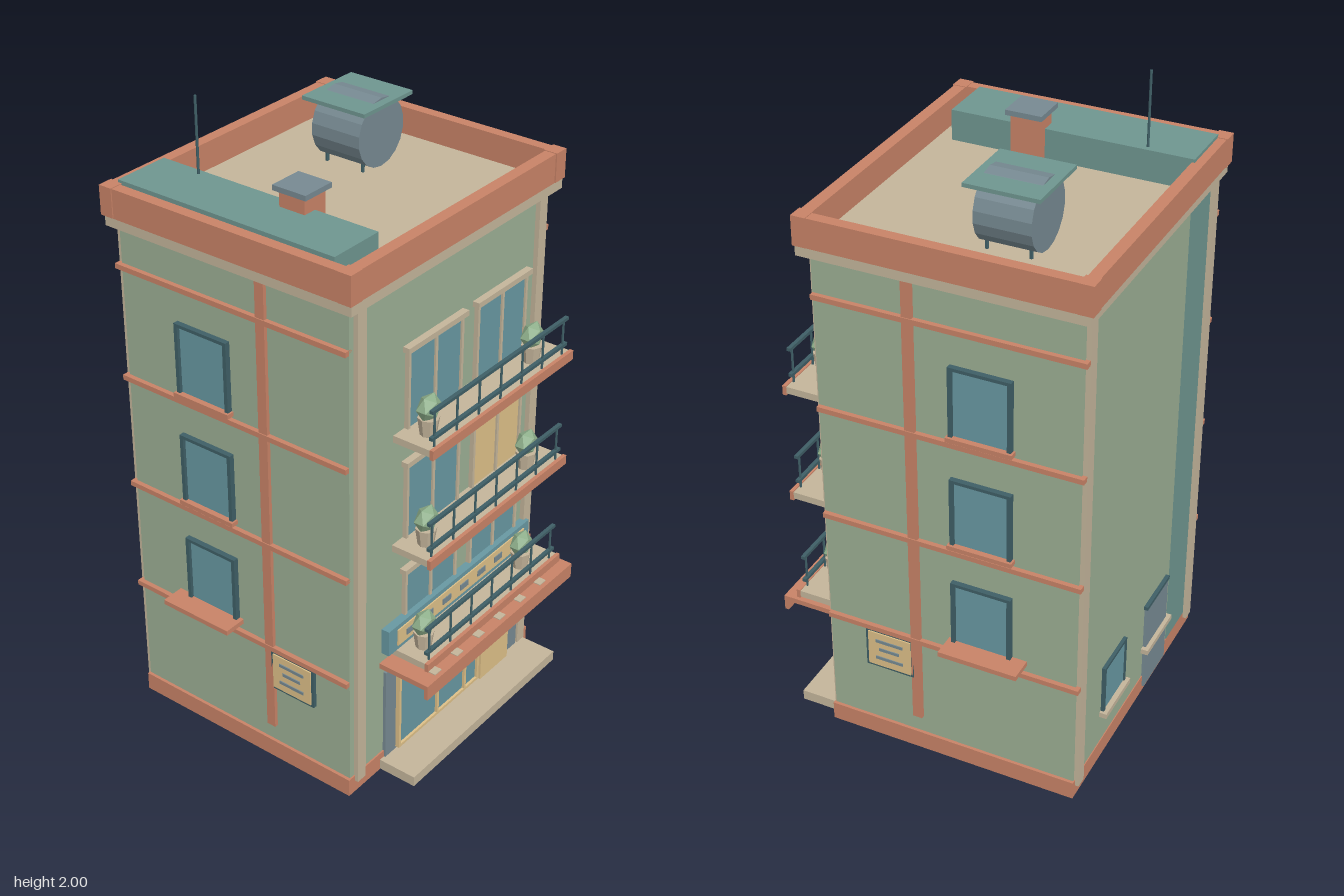
import * as THREE from 'three';

const mat = (color) => new THREE.MeshStandardMaterial({ color, flatShading: true });
const M = {
  wall: mat(0x9caf94), brick: mat(0xc98367), stone: mat(0xc4b59b), teal: mat(0x6f9690),
  glass: mat(0x6898a2), blind: mat(0xdec088), dark: mat(0x3f5f66), slate: mat(0x778a92), leaf: mat(0x8fb08c),
};

export function createModel() {
  const root = new THREE.Group();

  const add = (parent, name, geo, m, x = 0, y = 0, z = 0) => {
    const mesh = new THREE.Mesh(geo, M[m]);
    mesh.name = name;
    mesh.position.set(x, y, z);
    parent.add(mesh);
    return mesh;
  };
  // Box given by its extents along x, y and z
  const box = (parent, name, m, x0, x1, y0, y1, z0, z1) =>
    add(parent, name, new THREE.BoxGeometry(x1 - x0, y1 - y0, z1 - z0), m,
      (x0 + x1) / 2, (y0 + y1) / 2, (z0 + z1) / 2);
  const group = (name, parent = root) => {
    const g = new THREE.Group();
    g.name = name;
    parent.add(g);
    return g;
  };
  // Rectangular ring lying flat, extruded upwards
  const ring = (name, m, [x0, x1, z0, z1], [a0, a1, b0, b1], y, h) => {
    const rect = (T, l, r, n, f) => new T().moveTo(l, -f).lineTo(r, -f).lineTo(r, -n).lineTo(l, -n).closePath();
    const s = rect(THREE.Shape, x0, x1, z0, z1);
    s.holes.push(rect(THREE.Path, a0, a1, b0, b1));
    const geo = new THREE.ExtrudeGeometry(s, { depth: h, bevelEnabled: false }).rotateX(-Math.PI / 2);
    return add(root, name, geo, m, 0, y, 0);
  };

  // Main volume
  box(root, 'walls', 'wall', -0.46, 0.46, 0.05, 1.64, -0.475, 0.33);
  box(root, 'plinth', 'brick', -0.47, 0.47, 0, 0.06, -0.478, 0.335);
  box(root, 'stairCore', 'teal', -0.45, -0.267, 0.06, 1.77, -0.478, 0.277);
  for (const s of [-1, 1]) {
    box(root, 'frontPilaster', 'stone', s * 0.422 - 0.019, s * 0.422 + 0.019, 0.04, 1.64, 0.32, 0.345);
    box(root, 'backPilaster', 'stone', s * 0.435 - 0.019, s * 0.435 + 0.019, 0.04, 1.64, -0.49, -0.47);
  }

  // Cornice, roof deck and parapet
  box(root, 'cornice', 'stone', -0.488, 0.488, 1.64, 1.67, -0.5, 0.36);
  box(root, 'roofDeck', 'stone', -0.46, 0.46, 1.665, 1.675, -0.475, 0.33);
  ring('parapet', 'brick', [-0.49, 0.49, -0.505, 0.36], [-0.455, 0.455, -0.469, 0.323], 1.67, 0.09);
  for (const x of [-0.47, 0.47]) for (const z of [-0.487, 0.342])
    box(root, 'parapetCorner', 'brick', x - 0.024, x + 0.024, 1.672, 1.762, z - 0.022, z + 0.022);

  // Roof equipment
  const chimney = group('chimney');
  box(chimney, 'chimneyStack', 'brick', -0.31, -0.222, 1.67, 1.82, -0.022, 0.065);
  box(chimney, 'chimneyCap', 'slate', -0.32, -0.21, 1.817, 1.833, -0.037, 0.077);
  const tank = group('waterTank');
  add(tank, 'tankDrum', new THREE.CylinderGeometry(0.105, 0.105, 0.17, 18).rotateX(Math.PI / 2), 'slate', 0.225, 1.782, -0.175);
  box(tank, 'tankShade', 'teal', 0.112, 0.338, 1.868, 1.88, -0.288, -0.064);
  for (const x of [0.165, 0.285]) for (const z of [-0.24, -0.11])
    add(tank, 'tankLeg', new THREE.CylinderGeometry(0.006, 0.006, 0.06, 6), 'dark', x, 1.7, z);
  add(root, 'antenna', new THREE.CylinderGeometry(0.004, 0.004, 0.24, 8), 'dark', -0.287, 1.88, -0.33);

  // Side elevations, mirrored
  for (const s of [-1, 1]) {
    const side = group(s > 0 ? 'leftSide' : 'rightSide');
    const sb = (name, m, a, b, ...r) => box(side, name, m, Math.min(s * a, s * b), Math.max(s * a, s * b), ...r);
    for (const y of [0.417, 0.785, 1.152, 1.513])
      sb('stringCourse', 'brick', 0.45, 0.475, y - 0.008, y + 0.008, -0.488, 0.33);
    sb('drainPipe', 'brick', 0.45, 0.472, 0.12, 1.635, 0.022, 0.053);
    [0.455, 0.815, 1.18].forEach((y, i) => {
      const top = y + 0.22;
      sb('sideGlass', 'glass', 0.45, 0.467, y, top, -0.265, -0.093);
      for (const z of [-0.268, -0.09]) sb('sideJamb', 'dark', 0.45, 0.477, y, top, z - 0.006, z + 0.006);
      sb('sideHead', 'dark', 0.45, 0.477, top - 0.006, top + 0.004, -0.274, -0.084);
      if (i) sb('sideSill', 'brick', 0.45, 0.485, y - 0.012, y + 0.002, -0.28, -0.078);
      else sb('sideLedge', 'brick', 0.45, 0.535, y - 0.008, y + 0.008, -0.32, -0.07);
    });
    // Notice board with plain bars
    sb('boardFrame', 'dark', 0.45, 0.472, 0.272, 0.412, 0.045, 0.205);
    sb('boardPanel', 'blind', 0.45, 0.476, 0.281, 0.403, 0.054, 0.196);
    [[0.375, 0.045], [0.345, 0.033], [0.312, 0.045]].forEach(([y, w]) =>
      sb('boardBar', 'slate', 0.45, 0.479, y - 0.005, y + 0.005, 0.125 - w, 0.125 + w));
  }

  // Front windows and balconies on three floors
  const frontWindow = (parent, x0, x1, y, pane) => {
    const g = group('frontWindow', parent), top = y + 0.25, mid = (x0 + x1) / 2;
    box(g, 'pane', pane, x0, x1, y, top, 0.32, 0.338);
    for (const x of [x0, mid, x1]) box(g, 'mullion', 'stone', x - 0.005, x + 0.005, y, top, 0.32, 0.344);
    box(g, 'windowHead', 'stone', x0 - 0.015, x1 + 0.015, top - 0.005, top + 0.012, 0.32, 0.352);
  };
  const plant = (parent, x, y, z) => {
    const g = group('pottedPlant', parent);
    add(g, 'pot', new THREE.CylinderGeometry(0.032, 0.024, 0.055, 8), 'stone', x, y + 0.0275, z);
    const leaf = add(g, 'foliage', new THREE.IcosahedronGeometry(0.045, 0), 'leaf', x, y + 0.085, z);
    leaf.scale.set(1, 0.95, 0.68);
    leaf.rotation.y = 0;
  };
  [0.43, 0.798, 1.165].forEach((y, i) => {
    const floor = group('balconyFloor' + (i + 1));
    frontWindow(floor, -0.21, 0.037, y, 'glass');
    frontWindow(floor, 0.115, 0.355, y, i === 1 ? 'blind' : 'glass');
    box(floor, 'balconySlab', 'stone', -0.265, 0.43, y - 0.022, y, 0.32, 0.457);
    box(floor, 'balconyEdge', 'brick', -0.267, 0.432, y - 0.028, y + 0.003, 0.455, 0.467);
    for (const h of [0.03, 0.115]) box(floor, 'rail', 'dark', -0.257, 0.413, y + h - 0.005, y + h + 0.005, 0.444, 0.456);
    for (let k = 0; k < 7; k++)
      add(floor, 'railPost', new THREE.CylinderGeometry(0.004, 0.004, 0.115, 6), 'dark', -0.24 + k * 0.106, y + 0.0575, 0.45);
    plant(floor, -0.205, y + 0.006, 0.405);
    plant(floor, 0.3, y + 0.006, 0.405);
  });

  // Shopfront
  const shop = group('shopfront');
  box(shop, 'frontStep', 'stone', -0.32, 0.44, 0.003, 0.037, 0.3, 0.463);
  box(shop, 'shopSurround', 'slate', -0.3, 0.4, 0.037, 0.36, 0.3, 0.34);
  box(shop, 'shopGlass', 'glass', -0.245, 0.165, 0.05, 0.345, 0.32, 0.346);
  for (const x of [-0.245, -0.05, 0.095, 0.165])
    box(shop, 'shopMullion', 'blind', x - 0.005, x + 0.005, 0.045, 0.345, 0.32, 0.354);
  for (const y of [0.05, 0.342]) box(shop, 'shopRail', 'blind', -0.25, 0.17, y - 0.005, y + 0.005, 0.32, 0.354);
  box(shop, 'shopDoor', 'blind', 0.175, 0.325, 0.04, 0.345, 0.32, 0.358);

  // Awning with pale stripes, and the fascia board above it
  box(shop, 'awning', 'brick', -0.32, 0.444, 0.388, 0.405, 0.32, 0.505);
  box(shop, 'awningLip', 'brick', -0.32, 0.444, 0.355, 0.405, 0.492, 0.505);
  for (let k = 0; k < 6; k++) {
    const x = -0.248 + k * 0.11;
    box(shop, 'awningStripe', 'stone', x - 0.016, x + 0.016, 0.4, 0.408, 0.467, 0.491);
  }
  box(shop, 'fasciaBoard', 'glass', -0.31, 0.415, 0.438, 0.525, 0.33, 0.357);
  box(shop, 'fasciaPanel', 'blind', -0.27, 0.385, 0.454, 0.51, 0.33, 0.361);
  for (let k = 0; k < 7; k++) {
    const x = -0.21 + k * 0.09;
    box(shop, 'fasciaBlock', 'slate', x - 0.02, x + 0.02, 0.472, 0.492, 0.33, 0.364);
  }

  // Back door and window, each crossed by a ledge
  const back = group('backWall');
  box(back, 'backDoor', 'slate', -0.235, -0.065, 0.02, 0.335, -0.485, -0.46);
  box(back, 'backDoorHead', 'dark', -0.24, -0.06, 0.33, 0.342, -0.488, -0.46);
  box(back, 'backWindow', 'glass', 0.105, 0.26, 0.17, 0.34, -0.482, -0.46);
  for (const x of [0.105, 0.26]) box(back, 'backJamb', 'dark', x - 0.005, x + 0.005, 0.17, 0.34, -0.486, -0.46);
  box(back, 'backWindowHead', 'dark', 0.1, 0.265, 0.335, 0.345, -0.486, -0.46);
  for (const [a, b] of [[-0.25, -0.05], [0.09, 0.275]])
    box(back, 'backLedge', 'stone', a, b, 0.163, 0.18, -0.498, -0.46);

  return root;
}
